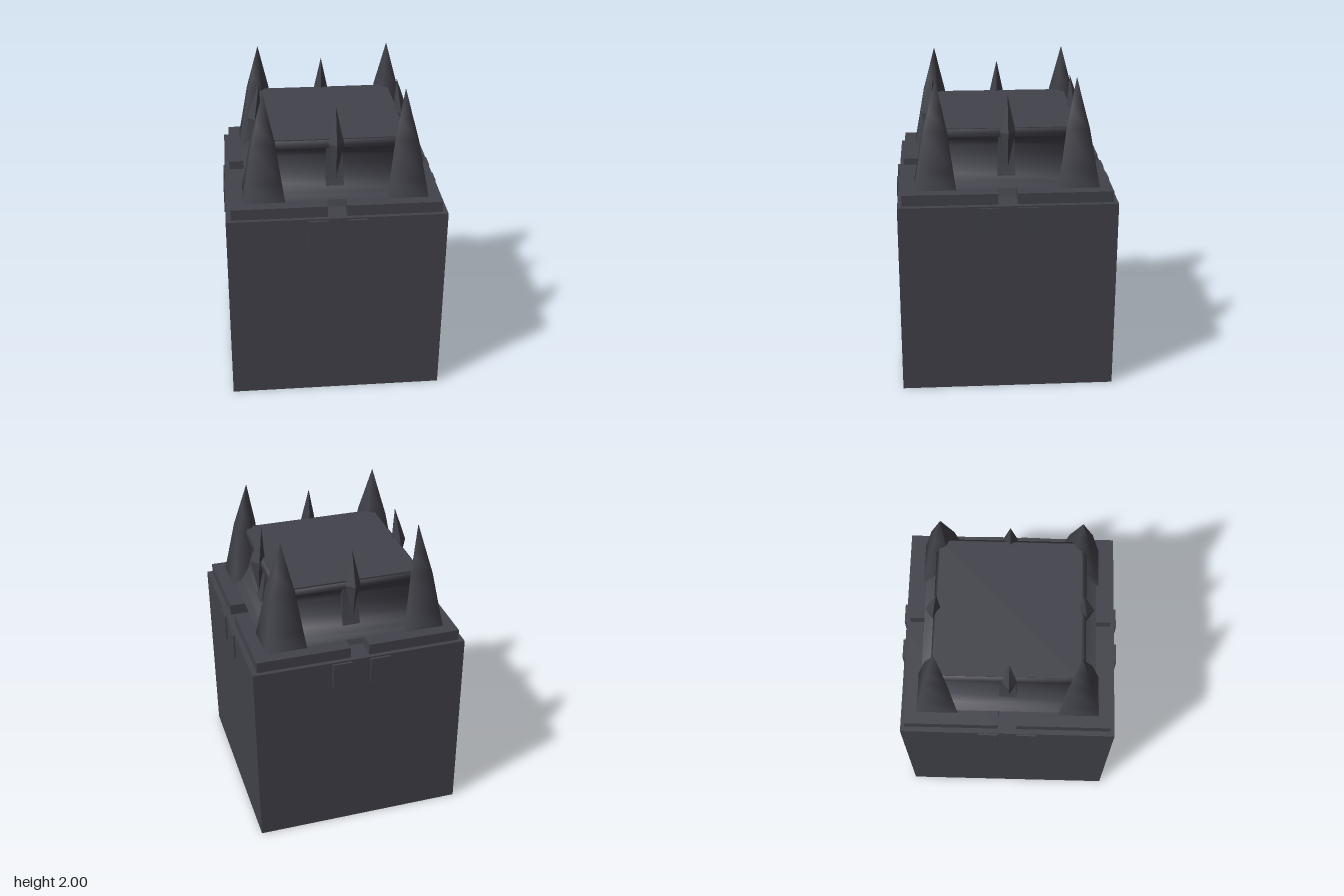
import * as THREE from 'three';

const stone = new THREE.MeshStandardMaterial({ color: 0x42424b, side: THREE.DoubleSide });
stone.name = 'dark slate';

function add(parent, name, geometry, x = 0, y = 0, z = 0) {
  const mesh = new THREE.Mesh(geometry, stone);
  mesh.name = name;
  mesh.position.set(x, y, z);
  parent.add(mesh);
}

// Move every vertex by a rule
function reshape(geometry, rule) {
  const p = geometry.attributes.position;
  const v = new THREE.Vector3();
  for (let i = 0; i < p.count; i++) {
    rule(v.fromBufferAttribute(p, i));
    p.setXYZ(i, v.x, v.y, v.z);
  }
  geometry.computeVertexNormals();
  return geometry;
}

// Square tower from [half width, height] pairs, bottom to top
function squareLathe(profile) {
  const points = profile.map(([h, y]) => new THREE.Vector2(h * Math.SQRT2, y));
  return new THREE.LatheGeometry(points, 4).rotateY(Math.PI / 4);
}

// Hollow block, open underneath, one side leaning in towards the foot
function blockGeometry() {
  const geometry = new THREE.BoxGeometry(1.375, 1.26, 1.365).translate(0, 0.63, 0);
  geometry.setIndex([...geometry.index.array].filter((_, i) => i < 18 || i > 23));
  geometry.clearGroups();
  return reshape(geometry, (v) => {
    if (v.x > 0 && v.y < 0.1) v.x -= 0.015;
  });
}

export function createModel() {
  const model = new THREE.Group();
  model.name = 'tower';
  add(model, 'block', blockGeometry());

  // Concave upper walls flaring out to a lip below the flat roof
  add(model, 'upperWalls', squareLathe([
    [0.56, 1.33], [0.505, 1.355], [0.46, 1.41], [0.43, 1.49],
    [0.425, 1.57], [0.44, 1.625], [0.475, 1.66], [0.45, 1.685],
  ]));
  add(model, 'roof', new THREE.BoxGeometry(0.9, 0.012, 0.9), 0, 1.684, -0.005);

  // Corner spire: square foot with the inner corner drawn in, tip leaning inwards
  const spire = reshape(
    squareLathe([[0.132, 1.32], [0.112, 1.44], [0.073, 1.69], [0.042, 1.82], [0, 2]]),
    (v) => {
      if (v.x > 0 && v.z > 0) v.set(v.x * 0.35, v.y, v.z * 0.35);
      const lean = 0.012 * (v.y - 1.32) / 0.68;
      v.x += lean;
      v.z += lean;
    },
  );

  // Buttress that curves back as it rises
  const buttress = reshape(new THREE.BoxGeometry(0.12, 0.41, 0.1, 1, 5, 1), (v) => {
    const t = v.y / 0.41 + 0.5;
    v.x *= 1 - 0.18 * t;
    if (v.z > 0) v.z += 0.08 * (1 - t) ** 2;
  });

  // Diamond spike, sharp edged, tip leaning inwards
  const diamond = reshape(
    squareLathe([[0, 1.44], [0.034, 1.67], [0, 1.9]]).rotateY(Math.PI / 4).toNonIndexed(),
    (v) => {
      if (v.y > 1.8) v.z -= 0.032;
    },
  );

  // Each quarter turn carries one corner and one side
  for (let i = 0; i < 4; i++) {
    const quarter = new THREE.Group();
    quarter.name = 'quarter';
    quarter.rotation.y = i * Math.PI / 2;
    add(quarter, 'cornerLedge', new THREE.BoxGeometry(0.595, 0.07, 0.595), -0.3575, 1.295, -0.3575);
    add(quarter, 'cornerSpire', spire, -0.447, 0, -0.447);
    add(quarter, 'buttress', buttress, 0, 1.46, 0.392);
    add(quarter, 'diamondSpike', diamond, 0.008, 0, 0.478);
    for (const sx of [-1, 1]) {
      add(quarter, 'wallPlate', new THREE.BoxGeometry(0.124, 0.17, 0.04), sx * 0.123, 1.165, 0.677);
    }
    model.add(quarter);
  }
  return model;
}
